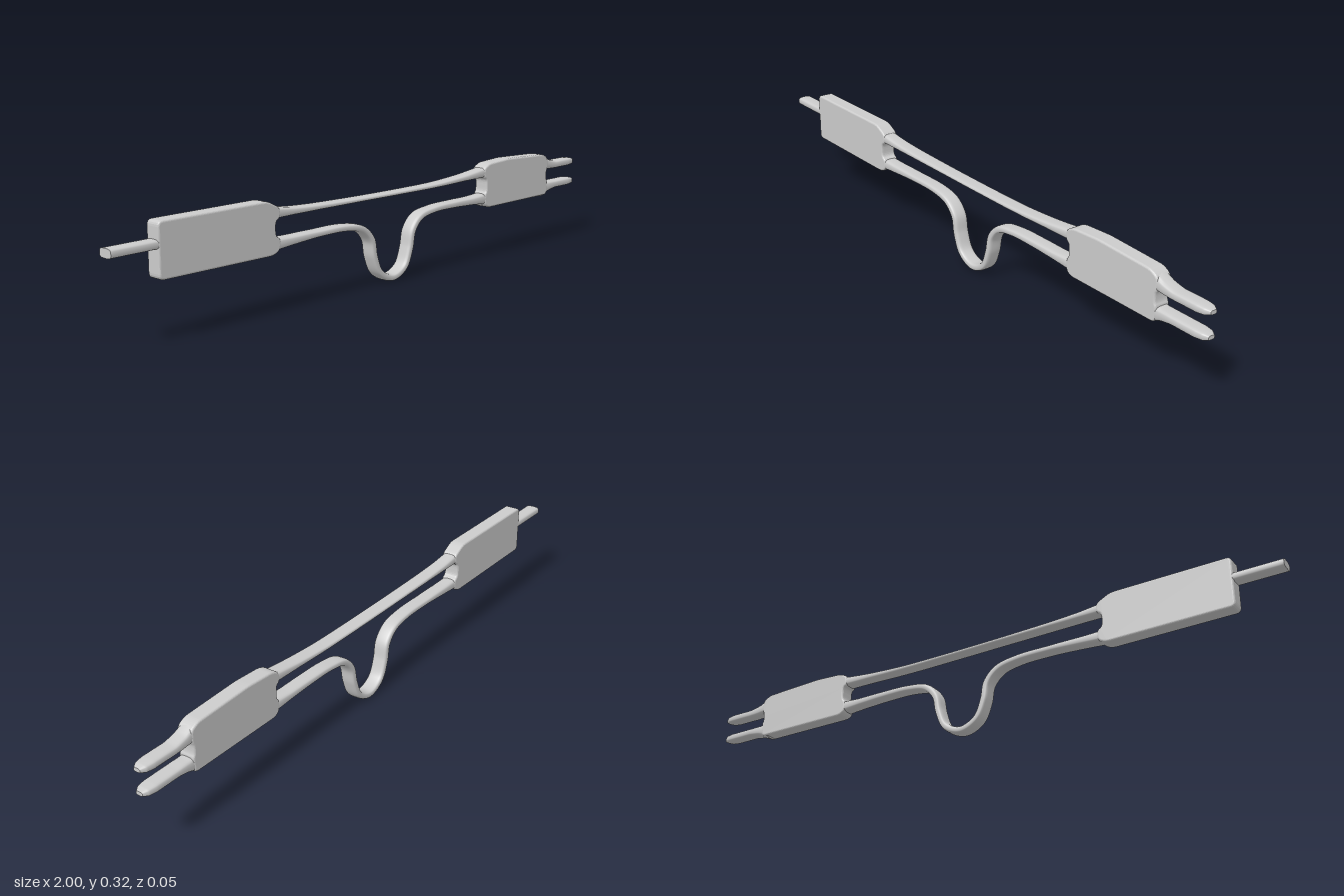
import * as THREE from 'three';
import { mergeVertices } from 'three/addons/utils/BufferGeometryUtils.js';

const material = new THREE.MeshStandardMaterial({ color: 0xcccccc });
const HALF_DEPTH = 0.024;

// Flat plate with softened edges; points are outline corners, rounded off by radius r
function plate(name, points, r) {
  const bevel = 0.006;
  const corners = points.map(([x, y]) => new THREE.Vector2(x, y));
  const shape = new THREE.Shape();
  corners.forEach((c, i) => {
    const prev = corners[(i + corners.length - 1) % corners.length];
    const next = corners[(i + 1) % corners.length];
    const toward = (p) => c.clone().add(p.clone().sub(c).setLength(Math.min(r, c.distanceTo(p) * 0.45)));
    const a = toward(prev), b = toward(next);
    if (i === 0) shape.moveTo(a.x, a.y);
    else shape.lineTo(a.x, a.y);
    shape.quadraticCurveTo(c.x, c.y, b.x, b.y);
  });
  shape.closePath();
  const depth = 2 * (HALF_DEPTH + 0.001 - bevel);
  const geometry = new THREE.ExtrudeGeometry(shape, {
    depth, bevelEnabled: true, bevelThickness: bevel, bevelSize: bevel,
    bevelOffset: -bevel, bevelSegments: 4, curveSegments: 5,
  });
  geometry.translate(0, 0, -depth / 2);
  const mesh = new THREE.Mesh(geometry, material);
  mesh.name = name;
  return mesh;
}

// Ribbon lofted along [x, y, halfThickness, depthScale] with a rounded-rectangle section
function ribbon(name, stations, steps = 60) {
  const sides = 20;
  const path = new THREE.CatmullRomCurve3(stations.map(([x, y]) => new THREE.Vector3(x, y, 0)));
  const sample = (t, k) => {
    const f = t * (stations.length - 1);
    const i = Math.min(Math.floor(f), stations.length - 2);
    return THREE.MathUtils.lerp(stations[i][k] ?? 1, stations[i + 1][k] ?? 1, f - i);
  };
  const soft = (v) => Math.sign(v) * Math.abs(v) ** 0.6;
  const positions = [], index = [];
  for (let i = 0; i <= steps; i++) {
    const t = i / steps;
    const p = path.getPoint(t), d = path.getTangent(t);
    const half = sample(t, 2), depth = HALF_DEPTH * sample(t, 3);
    for (let j = 0; j < sides; j++) {
      const a = (j / sides) * Math.PI * 2;
      const n = soft(Math.cos(a)) * half;
      positions.push(p.x - d.y * n, p.y + d.x * n, soft(Math.sin(a)) * depth);
      if (i < steps) {
        const q = i * sides + j, s = i * sides + ((j + 1) % sides);
        index.push(q, s, q + sides, s, s + sides, q + sides);
      }
    }
  }
  // End caps on their own vertices keep the rims crisp
  for (const end of [0, steps]) {
    const base = positions.length / 3;
    for (let j = 0; j < sides; j++) {
      const k = (end * sides + j) * 3;
      positions.push(positions[k], positions[k + 1], positions[k + 2]);
    }
    for (let j = 1; j < sides - 1; j++) {
      if (end) index.push(base, base + j, base + j + 1);
      else index.push(base, base + j + 1, base + j);
    }
  }
  const geometry = new THREE.BufferGeometry();
  geometry.setAttribute('position', new THREE.Float32BufferAttribute(positions, 3));
  geometry.setIndex(index);
  geometry.computeVertexNormals();
  const mesh = new THREE.Mesh(mergeVertices(geometry), material);
  mesh.name = name;
  return mesh;
}

export function createModel() {
  const group = new THREE.Group();
  group.name = 'flatConnector';

  // Two broad end plates, shouldered where the strips run out
  group.add(plate('rightEndPlate', [
    [-0.855, 0.168], [-0.46, 0.166], [-0.435, 0.18], [-0.435, 0.212], [-0.452, 0.22],
    [-0.452, 0.262], [-0.435, 0.27], [-0.435, 0.299], [-0.482, 0.323], [-0.855, 0.324],
  ], 0.016));
  group.add(plate('leftEndPlate', [
    [0.477, 0.178], [0.495, 0.165], [0.825, 0.165], [0.828, 0.21], [0.822, 0.222],
    [0.822, 0.246], [0.828, 0.258], [0.828, 0.294], [0.80, 0.309], [0.60, 0.317],
    [0.50, 0.312], [0.472, 0.298], [0.472, 0.268], [0.486, 0.26], [0.486, 0.22], [0.477, 0.212],
  ], 0.014));

  // Slim upper strip, thinnest at mid span
  group.add(ribbon('upperStrip', [
    [-0.47, 0.285, 0.018], [-0.38, 0.28, 0.011], [-0.28, 0.277, 0.008], [-0.1, 0.274, 0.006],
    [0.08, 0.272, 0.006], [0.25, 0.272, 0.007], [0.38, 0.277, 0.01], [0.5, 0.284, 0.017],
  ]));

  // Lower strip with its hanging U loop
  group.add(ribbon('lowerLoopStrip', [
    [-0.47, 0.194, 0.019], [-0.39, 0.196, 0.014], [-0.28, 0.199, 0.01], [-0.16, 0.197, 0.01],
    [-0.095, 0.182, 0.011], [-0.058, 0.145, 0.012], [-0.046, 0.09, 0.012], [-0.02, 0.036, 0.011],
    [0.035, 0.012, 0.011], [0.09, 0.036, 0.011], [0.115, 0.09, 0.012], [0.128, 0.145, 0.012],
    [0.163, 0.182, 0.011], [0.23, 0.196, 0.01], [0.33, 0.198, 0.011], [0.42, 0.196, 0.013],
    [0.5, 0.195, 0.019],
  ], 130));

  // Single pin at one end
  group.add(ribbon('singlePin', [
    [-1, 0.262, 0.013], [-0.95, 0.262, 0.013], [-0.9, 0.262, 0.013], [-0.84, 0.262, 0.013],
  ], 12));

  // Pair of prongs with flared roots and blunted tips at the other end
  [['upperProng', 0.264, 0.015], ['lowerProng', 0.194, -0.008]].forEach(([name, y, rise]) => {
    group.add(ribbon(name, [
      [0.8, y + rise, 0.027], [0.84, y + rise * 0.35, 0.017], [0.88, y, 0.013], [0.92, y, 0.013],
      [0.96, y, 0.013], [0.985, y, 0.011, 0.85], [1, y, 0.006, 0.45],
    ], 36));
  });
  return group;
}
